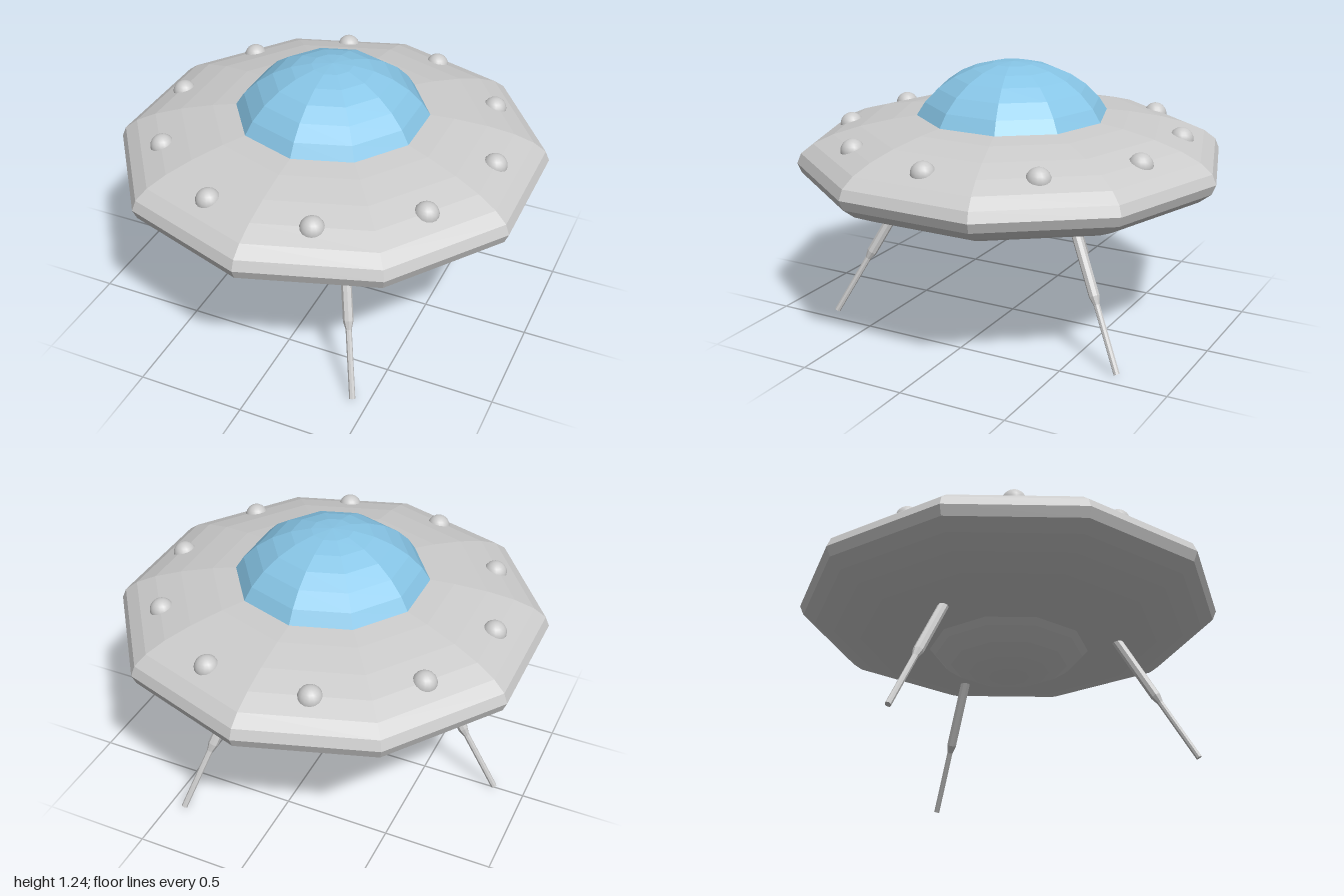
import * as THREE from 'three';

const SIDES = 10;
const grey = new THREE.MeshStandardMaterial({ color: 0xcccccc, flatShading: true });
const smoothGrey = new THREE.MeshStandardMaterial({ color: 0xcccccc });
const blue = new THREE.MeshStandardMaterial({ color: 0x87c5e6, flatShading: true });

// Ten-sided squashed sphere (or a vertical slice of one) with a corner facing +z
function spheroid(name, radius, halfHeight, y, material, thetaStart, thetaLength, rings) {
  const geo = new THREE.SphereGeometry(radius, SIDES, rings, Math.PI / 2, Math.PI * 2, thetaStart, thetaLength);
  geo.scale(1, halfHeight / radius, 1);
  const mesh = new THREE.Mesh(geo, material);
  mesh.name = name;
  mesh.position.y = y;
  return mesh;
}

// Leg leaning outwards along +x: thick upper strut, tapered collar, thin lower strut
function makeLeg() {
  const foot = new THREE.Vector3(0.855, 0.007, 0);
  const top = new THREE.Vector3(0.459, 0.68, 0);
  const axis = top.clone().sub(foot);
  const length = axis.length();
  const profile = [
    [0, 0], [0.014, 0], [0.014, 0.40], [0.024, 0.45], [0.024, 1], [0, 1],
  ].map(([r, t]) => new THREE.Vector2(r, t * length));
  const leg = new THREE.Mesh(new THREE.LatheGeometry(profile, 8), grey);
  leg.position.copy(foot);
  leg.quaternion.setFromUnitVectors(new THREE.Vector3(0, 1, 0), axis.normalize());
  leg.name = 'legStrut';
  return leg;
}

export function createModel() {
  const model = new THREE.Group();
  model.name = 'flyingSaucer';

  // Hull, glass canopy and belly
  model.add(spheroid('hull', 1, 0.235, 0.785, grey, 0, Math.PI, 16));
  model.add(spheroid('canopy', 0.49, 0.4075, 0.8275, blue, 0, Math.PI / 2, 8));
  model.add(spheroid('belly', 0.49, 0.4075, 0.8275, grey, Math.PI / 2, Math.PI / 2, 8));

  // Ring of lamps, one per hull facet
  const lampGeo = new THREE.SphereGeometry(0.055, 16, 12);
  for (let i = 0; i < SIDES; i++) {
    const a = (i / SIDES) * Math.PI * 2;
    const lamp = new THREE.Mesh(lampGeo, smoothGrey);
    lamp.position.set(0.782 * Math.cos(a), 0.902, 0.782 * Math.sin(a));
    lamp.name = 'lamp';
    model.add(lamp);
  }

  // Three landing legs, one pointing to -x
  for (let i = 0; i < 3; i++) {
    const leg = new THREE.Group();
    leg.name = 'landingLeg';
    leg.add(makeLeg());
    leg.rotation.y = Math.PI + (i * Math.PI * 2) / 3;
    model.add(leg);
  }

  return model;
}
